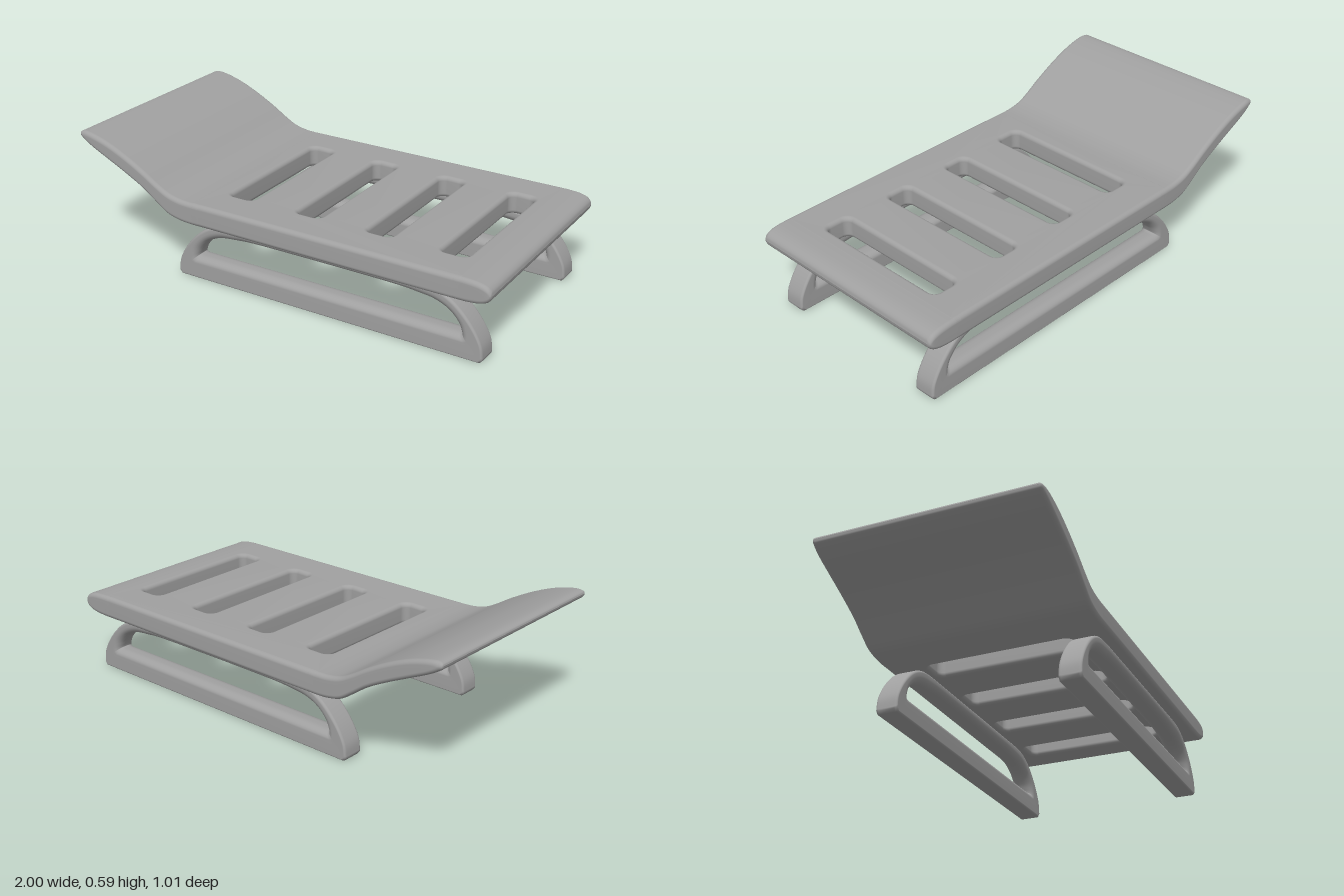
import * as THREE from 'three';
import { mergeVertices } from 'three/addons/utils/BufferGeometryUtils.js';

const HALF_WIDTH = 0.505;
const BEVEL = 0.02;

// Rounded-edge plate of the given thickness, centred on z = 0, smooth shaded
function softPlate(shape, thickness) {
  const geo = new THREE.ExtrudeGeometry(shape, {
    depth: thickness - 2 * BEVEL, bevelThickness: BEVEL, bevelSize: BEVEL,
    bevelOffset: -BEVEL, bevelSegments: 5, curveSegments: 6,
  });
  geo.translate(0, 0, BEVEL - thickness / 2);
  geo.deleteAttribute('uv');
  geo.deleteAttribute('normal');
  const smooth = mergeVertices(geo, 1e-5);
  smooth.computeVertexNormals();
  return smooth;
}

function roundedRect(path, x0, x1, halfZ, r) {
  path.absarc(x1 - r, halfZ - r, r, 0, Math.PI / 2);
  path.absarc(x0 + r, halfZ - r, r, Math.PI / 2, Math.PI);
  path.absarc(x0 + r, -halfZ + r, r, Math.PI, Math.PI * 1.5);
  path.absarc(x1 - r, -halfZ + r, r, Math.PI * 1.5, Math.PI * 2);
  path.closePath();
  return path;
}

// Rounded four-cornered loop; corner(su, sv) gives [centre u, centre v, radius u, radius v]
function section(corner, place) {
  const points = [], arc = 6;
  for (let c = 0; c < 4; c++) {
    const [u, v, ru, rv] = corner(c === 0 || c === 3 ? 1 : -1, c < 2 ? 1 : -1);
    for (let k = 0; k <= arc; k++) {
      const a = (c + k / arc) * Math.PI / 2;
      points.push(place(u + ru * Math.cos(a), v + rv * Math.sin(a)));
    }
  }
  return points;
}

// Skin over a row of sections, optionally joined end to start
function skin(sections, closed) {
  const n = sections[0].length, count = sections.length, index = [];
  for (let i = 0; i < (closed ? count : count - 1); i++) {
    const here = i * n, next = ((i + 1) % count) * n;
    for (let j = 0; j < n; j++) {
      const k = (j + 1) % n;
      index.push(here + j, next + j, here + k, here + k, next + j, next + k);
    }
  }
  const geo = new THREE.BufferGeometry();
  geo.setAttribute('position', new THREE.Float32BufferAttribute(sections.flat(2), 3));
  geo.setIndex(index);
  geo.computeVertexNormals();
  return geo;
}

// Full-width cushion swept along x; stations are [x, bottom, top]
function loft(stations, steps) {
  const curve = new THREE.CatmullRomCurve3(stations.map(s => new THREE.Vector3(...s)));
  return skin(curve.getPoints(steps).map(p => {
    const thick = Math.max(p.z - p.y, 0), mid = (p.y + p.z) / 2;
    const r = Math.min(BEVEL, thick / 2);
    const half = HALF_WIDTH - 0.02 * Math.pow(Math.max(0, 1 - thick / 0.1), 3);
    return section(
      (su, sv) => [su * (half - r), mid + sv * (thick / 2 - r), r, r],
      (z, y) => [p.x, y, z]);
  }), false);
}

// Arched runner: outer and inner outlines joined by sections, crisp outside, round inside
const RUNNER_MID = 0.22;
function runnerGeometry() {
  const base = [[-0.503, 0], [-0.402, 0.1]];
  const outer = [[-0.515, 0.014], [-0.507, 0.075], [-0.465, 0.15], [-0.4, 0.22],
    [-0.33, 0.262], [-0.25, 0.278], [-0.08, 0.28]];
  const inner = [[-0.415, 0.106], [-0.41, 0.12], [-0.395, 0.147], [-0.36, 0.184],
    [-0.3, 0.211], [-0.22, 0.222], [-0.06, 0.231]];
  const mirror = ([x, y]) => [2 * RUNNER_MID - x, y];
  const outline = (half, start) => {
    const all = [...half, ...half.map(mirror).reverse()];
    const spline = new THREE.SplineCurve(all.map(p => new THREE.Vector2(...p)));
    return [start, ...spline.getPoints(65).map(p => [p.x, p.y]), mirror(start)];
  };
  const inside = outline(inner, base[1]);
  return skin(outline(outer, base[0]).map(([ox, oy], i) => {
    const dx = inside[i][0] - ox, dy = inside[i][1] - oy, length = Math.hypot(dx, dy);
    const edge = 0.012, round = Math.min(0.04, length * 0.6);
    return section(
      (su, sv) => su > 0
        ? [length - round, sv * 0.01, round, 0.04]
        : [edge, sv * (0.05 - edge), edge, edge],
      (d, z) => [ox + dx * d / length, oy + dy * d / length, z]);
  }), true);
}

export function createModel() {
  const group = new THREE.Group();
  const grey = new THREE.MeshStandardMaterial({ color: 0xa0a0a0 });
  grey.name = 'grey';
  const add = (name, geo, y = 0, z = 0) => {
    const mesh = new THREE.Mesh(geo, grey);
    mesh.name = name;
    mesh.position.set(0, y, z);
    group.add(mesh);
  };

  // Seat with four slots
  const seat = roundedRect(new THREE.Shape(), -0.42, 0.89, HALF_WIDTH, 0.025);
  for (let i = 0; i < 4; i++) {
    const x = -0.26 + i * 0.338;
    seat.holes.push(roundedRect(new THREE.Path(), x - 0.059, x + 0.059, 0.33, 0.03));
  }
  add('seat', softPlate(seat, 0.1).rotateX(-Math.PI / 2), 0.326);

  // Raised backrest, tapering to a thin tip
  add('backrest', loft([
    [-1, 0.573, 0.573], [-0.996, 0.56, 0.581], [-0.98, 0.547, 0.587], [-0.94, 0.524, 0.584],
    [-0.85, 0.482, 0.56], [-0.75, 0.435, 0.518], [-0.65, 0.382, 0.465], [-0.58, 0.333, 0.422],
    [-0.52, 0.295, 0.392], [-0.46, 0.28, 0.379], [-0.41, 0.276, 0.376], [-0.36, 0.276, 0.376],
  ], 60));

  // Rounded foot end
  add('footEnd', loft([
    [0.84, 0.276, 0.376], [0.9, 0.277, 0.375], [0.95, 0.283, 0.37], [0.98, 0.294, 0.36],
    [0.995, 0.309, 0.346], [1, 0.328, 0.328],
  ], 24));

  // Two arched runners
  const runner = runnerGeometry();
  for (const [name, side] of [['frontRunner', 1], ['backRunner', -1]]) {
    add(name, runner, 0, side * 0.405);
  }
  return group;
}
